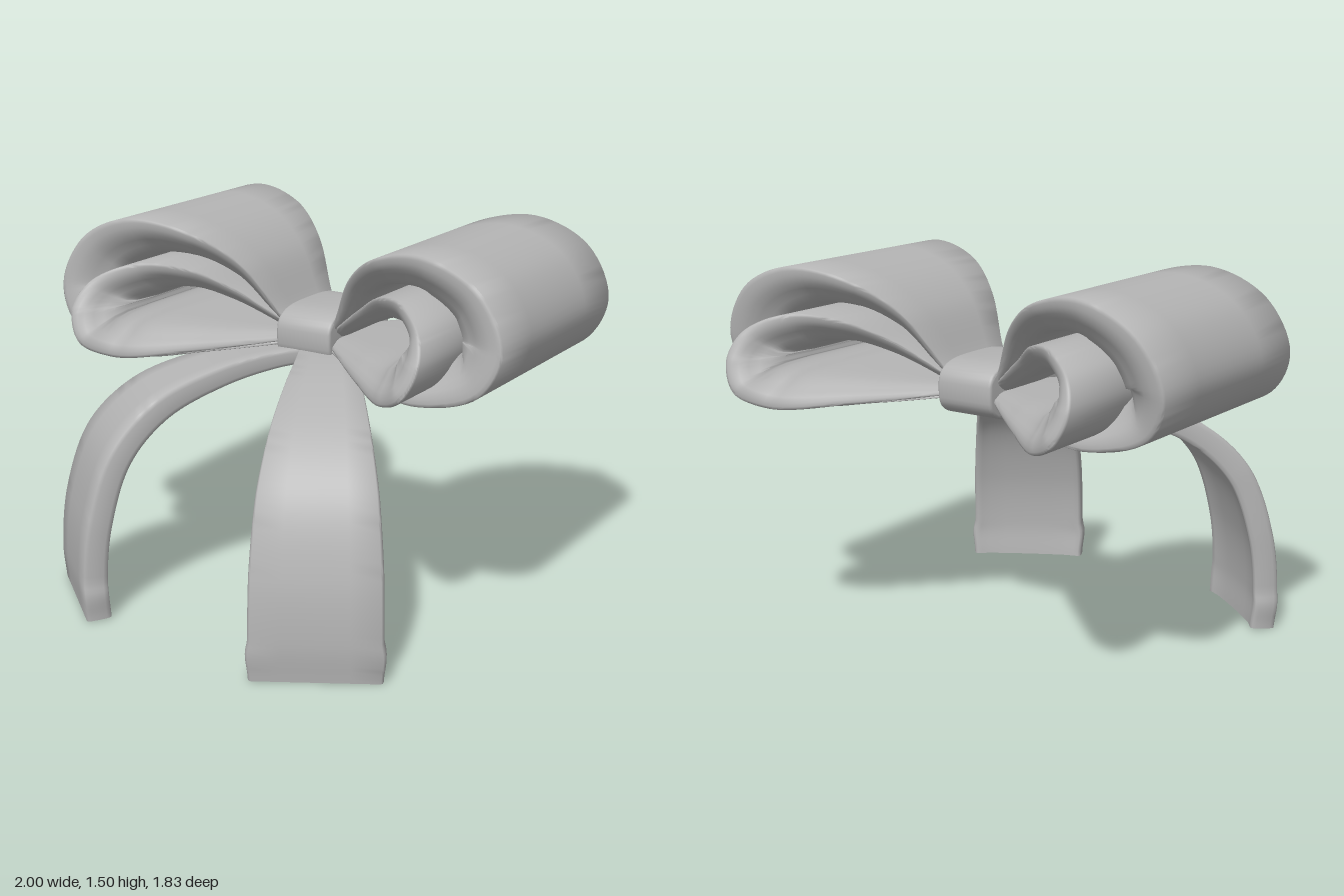
import * as THREE from 'three';
import { toCreasedNormals } from 'three/addons/utils/BufferGeometryUtils.js';

const ribbonGrey = new THREE.MeshStandardMaterial({ color: 0xb4b4b4, side: THREE.DoubleSide });
ribbonGrey.name = 'ribbonGrey';

// Half profiles of the ribbon: [fraction of half width, fraction of thickness]
const LOOP_LIP = [[0.985, 0], [0.998, 0.03], [1, 0.1], [0.995, 0.22], [0.975, 0.38], [0.93, 0.52], [0.88, 0.68], [0.83, 0.85], [0.74, 0.95], [0.55, 1], [0, 1]];
const TAIL_LIP = [[0.96, 0], [0.985, 0.06], [1, 0.2], [1, 0.5], [0.99, 0.8], [0.97, 0.95], [0.93, 1], [0.85, 0.95], [0.7, 0.86], [0.4, 0.82], [0, 0.8]];

// Sweeps an open-ended hollow ribbon along a path in the xy plane; its width runs along z.
// Each point: [x, y, half width, z centre, thickness]; side -1 mirrors in x.
function sweepRibbon(points, lip, side, steps) {
  const path = new THREE.CatmullRomCurve3(points.map(p => new THREE.Vector3(p[0] * side, p[1], 0)));
  const size = new THREE.CatmullRomCurve3(points.map(p => new THREE.Vector3(p[2], p[3], p[4])));
  const ring = [
    ...lip.slice(0, -1).reverse().map(([u, d]) => [-u, d]).reverse().slice(0, 1),
    [-0.5, 0], [0, 0], [0.5, 0], ...lip,
    ...lip.slice(1, -1).reverse().map(([u, d]) => [-u, d]),
  ];
  const n = ring.length, pos = [], idx = [];
  const tri = (a, b, c) => (side > 0 ? idx.push(a, b, c) : idx.push(a, c, b));

  for (let i = 0; i <= steps; i++) {
    const t = i / steps, p = path.getPoint(t), s = size.getPoint(t), g = path.getTangent(t);
    const nx = g.y * side, ny = -g.x * side;
    for (const [u, d] of ring) pos.push(p.x + nx * d * s.z, p.y + ny * d * s.z, s.y + u * s.x);
    if (i === steps) continue;
    for (let j = 0; j < n; j++) {
      const a = i * n + j, b = i * n + (j + 1) % n;
      tri(a, b, a + n);
      tri(b, b + n, a + n);
    }
  }
  const geo = new THREE.BufferGeometry();
  geo.setAttribute('position', new THREE.Float32BufferAttribute(pos, 3));
  geo.setIndex(idx);
  return toCreasedNormals(geo, 1.0);
}

const BIG_LOOP = [
  [0.06, 1.05, 0.17, -0.18, 0.03], [0.125, 1.13, 0.2, -0.18, 0.05],
  [0.25, 1.335, 0.3, -0.18, 0.09], [0.42, 1.455, 0.4, -0.18, 0.125],
  [0.67, 1.5, 0.465, -0.18, 0.18], [0.9, 1.4, 0.478, -0.178, 0.22],
  [1.0, 1.2, 0.478, -0.162, 0.235], [0.92, 1.03, 0.47, -0.14, 0.2],
  [0.64, 0.948, 0.455, -0.135, 0.13], [0.34, 0.98, 0.35, -0.16, 0.06],
  [0.08, 1.01, 0.18, -0.18, 0.03],
];

const SMALL_LOOP = [
  [0.06, 1.05, 0.15, -0.185, 0.03], [0.28, 1.215, 0.28, -0.19, 0.075],
  [0.44, 1.31, 0.42, -0.2, 0.11], [0.6, 1.335, 0.54, -0.2, 0.14],
  [0.74, 1.27, 0.65, -0.19, 0.15], [0.78, 1.165, 0.71, -0.182, 0.155],
  [0.73, 1.045, 0.735, -0.18, 0.15], [0.6, 0.985, 0.67, -0.18, 0.135],
  [0.36, 0.995, 0.45, -0.18, 0.085], [0.08, 1.02, 0.17, -0.185, 0.03],
];

const TAIL = [
  [0, 1.0, 0.11, 0, 0.05], [0.25, 0.998, 0.12, 0, 0.065], [0.5, 0.96, 0.15, 0, 0.08],
  [0.77, 0.86, 0.19, 0, 0.095], [0.955, 0.68, 0.225, 0, 0.1], [1.055, 0.4, 0.245, 0, 0.1],
  [1.082, 0.15, 0.249, 0, 0.1], [1.072, 0, 0.249, 0, 0.1],
];

// Band wrapped around the middle: a squarish oval with softened rims
function knotGeometry() {
  const shape = new THREE.Shape(), count = 48;
  for (let i = 0; i < count; i++) {
    const a = (i / count) * Math.PI * 2, c = Math.cos(a), s = Math.sin(a);
    const x = 0.225 * Math.sign(c) * Math.abs(c) ** 0.6;
    const y = 0.1 * Math.sign(s) * Math.abs(s) ** 0.6;
    if (i) shape.lineTo(x, y); else shape.moveTo(x, y);
  }
  const geo = new THREE.ExtrudeGeometry(shape, {
    depth: 0.226, bevelEnabled: true, bevelThickness: 0.012, bevelSize: 0.012, bevelSegments: 3,
  });
  geo.translate(0, 0, -0.113);
  geo.rotateY(Math.PI / 2);
  geo.translate(0, 1.047, -0.185);
  return toCreasedNormals(geo, 0.7);
}

export function createModel() {
  const bow = new THREE.Group();
  bow.name = 'ribbonBow';
  const add = (name, geo) => {
    const mesh = new THREE.Mesh(geo, ribbonGrey);
    mesh.name = name;
    bow.add(mesh);
    return mesh;
  };

  // Wide outer loops and the longer, flatter loops nested inside them
  for (const [label, side] of [['left', 1], ['right', -1]]) {
    add(label + 'BigLoop', sweepRibbon(BIG_LOOP, LOOP_LIP, side, 80));
    add(label + 'SmallLoop', sweepRibbon(SMALL_LOOP, LOOP_LIP, side, 80));
  }

  // Hanging tails, fanned out towards the front
  for (const [label, degrees] of [['left', -60.8], ['right', -130.7]]) {
    const tail = add(label + 'Tail', sweepRibbon(TAIL, TAIL_LIP, 1, 60));
    tail.position.z = -0.15;
    tail.rotation.y = THREE.MathUtils.degToRad(degrees);
  }

  add('knot', knotGeometry());
  return bow;
}
